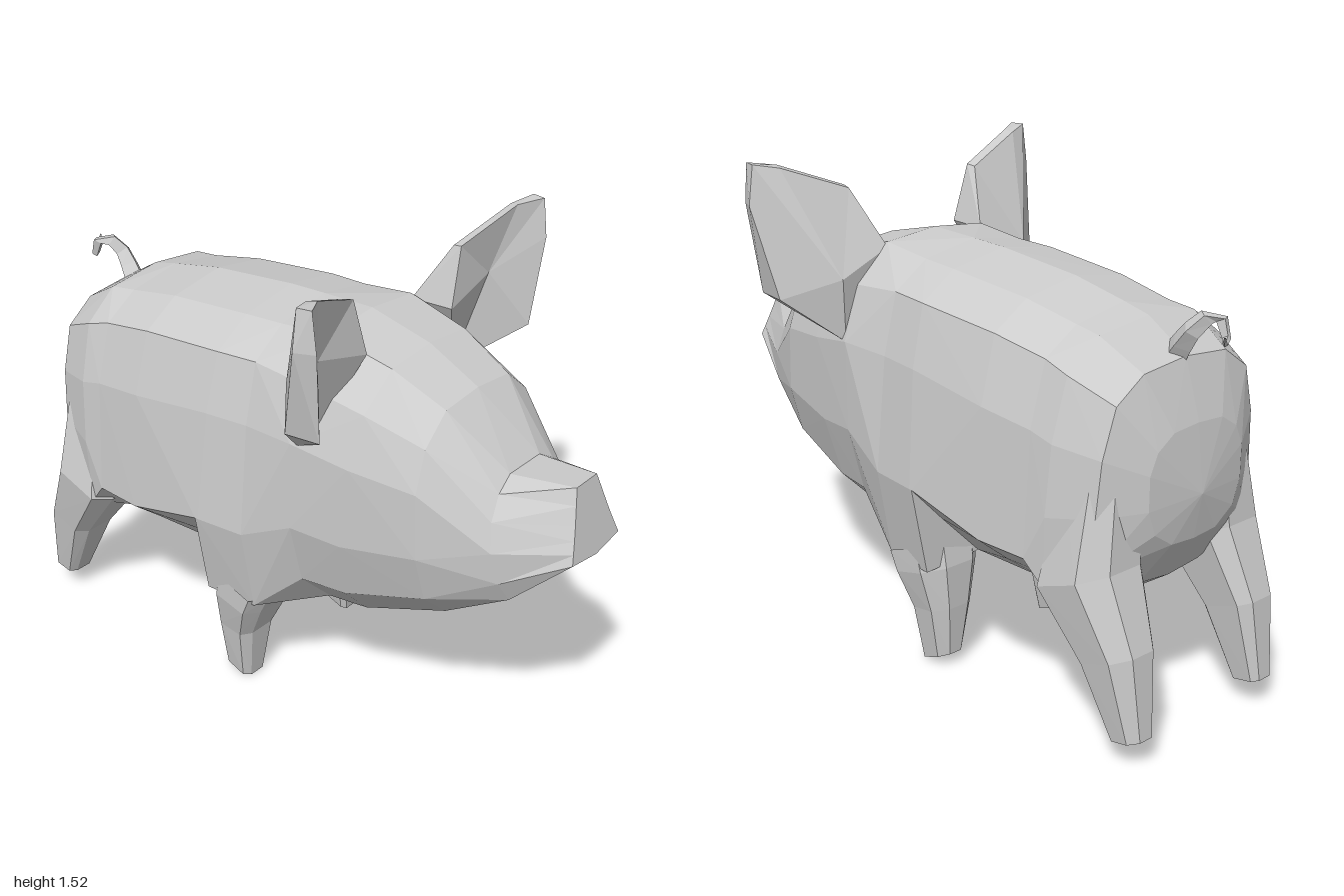
import * as THREE from 'three';

const material = new THREE.MeshStandardMaterial({ color: 0xcccccc, flatShading: true });

// Joins closed rings of [x, y, z] points; fans close the ends (the start can stay open).
// Each quad is split along the diagonal that keeps the surface convex.
function loft(name, rings, { flip = false, openStart = false, startCentre, endCentre } = {}) {
  const n = rings[0].length, last = (rings.length - 1) * n;
  const mean = ring => [0, 1, 2].map(k => ring.reduce((s, p) => s + p[k], 0) / n);
  const points = rings.flat();
  points.push(startCentre ?? mean(rings[0]), endCentre ?? mean(rings.at(-1)));
  const vectors = points.map(p => new THREE.Vector3(...p));
  const index = [];
  const tri = (a, b, c) => (flip ? index.push(a, c, b) : index.push(a, b, c));
  const quad = (a, b, c, d) => {
    const [ab, ac, ad] = [b, c, d].map(i => vectors[i].clone().sub(vectors[a]));
    const dips = ab.cross(ac).dot(ad) * (flip ? -1 : 1) <= 0;
    if (dips) { tri(a, b, c); tri(b, d, c); } else { tri(a, b, d); tri(a, d, c); }
  };
  for (let j = 0; j < n; j++) {
    const k = (j + 1) % n;
    for (let i = 0; i < last; i += n) quad(i + j, i + k, i + n + j, i + n + k);
    if (!openStart) tri(points.length - 2, k, j);
    tri(points.length - 1, last + j, last + k);
  }
  const indexed = new THREE.BufferGeometry();
  indexed.setAttribute('position', new THREE.Float32BufferAttribute(points.flat(), 3));
  indexed.setIndex(index);
  const geometry = indexed.toNonIndexed();
  geometry.computeVertexNormals();
  const mesh = new THREE.Mesh(geometry, material);
  mesh.name = name;
  return mesh;
}

// Half cross-sections, top centre to bottom centre, as [width, height] fractions.
const SNOUT = [[0, 1], [0.42, 1], [0.55, 0.78], [0.68, 0.55], [0.8, 0.36], [0.91, 0.2], [1, 0.07], [0, 0]];
const MUZZLE = [[0, 1], [0.36, 1], [0.66, 0.9], [0.9, 0.72], [1, 0.48], [0.92, 0.2], [0.72, 0.01], [0, 0]];
const HEAD = [[0, 1], [0.52, 0.98], [0.85, 0.86], [1, 0.68], [1, 0.38], [0.85, 0.16], [0.48, 0.02], [0, 0]];
const SHOULDER = [[0, 1], [0.49, 0.965], [0.79, 0.88], [0.91, 0.68], [1, 0.3], [0.87, 0], [0.36, 0.015], [0, 0]];
const BARREL = [[0, 1], [0.49, 0.965], [0.79, 0.88], [0.91, 0.68], [1, 0.3], [0.72, 0.17], [0.38, 0.02], [0, 0]];
const FLANK = [[0, 1], [0.49, 0.965], [0.8, 0.88], [0.94, 0.66], [1, 0.23], [0.72, 0.13], [0.38, 0.02], [0, 0]];
const HAUNCH = [[0, 1], [0.52, 0.975], [0.83, 0.87], [0.96, 0.65], [1, 0.4], [0.98, 0.14], [0.4, 0.02], [0, 0]];

function createBody() {
  // profile, top z, top y, bottom z, bottom y, half width
  const sections = [
    [SNOUT, 0.95, 0.985, 1.0, 0.77, 0.12],
    [MUZZLE, 0.75, 0.965, 0.82, 0.61, 0.205],
    [HEAD, 0.58, 1.15, 0.6, 0.46, 0.29],
    [HEAD, 0.41, 1.235, 0.32, 0.357, 0.335],
    [HEAD, 0.2, 1.285, 0.19, 0.35, 0.365],
    [SHOULDER, 0.02, 1.28, 0.02, 0.342, 0.39],
    [SHOULDER, -0.11, 1.275, -0.16, 0.342, 0.405],
    [BARREL, -0.12, 1.274, -0.17, 0.342, 0.405],
    [FLANK, -0.41, 1.247, -0.44, 0.345, 0.395],
    [FLANK, -0.6, 1.21, -0.6, 0.35, 0.38],
    [HAUNCH, -0.69, 1.19, -0.66, 0.355, 0.37],
    [HAUNCH, -0.83, 1.105, -0.8, 0.45, 0.32],
    [HEAD, -0.885, 0.93, -0.885, 0.59, 0.19],
  ];
  const rings = sections.map(([profile, zt, yt, zb, yb, w]) => {
    const half = profile.map(([u, v]) => [u * w, yb + v * (yt - yb), zb + v * (zt - zb)]);
    const mirrored = half.slice(1, -1).reverse().map(([x, y, z]) => [-x, y, z]);
    return [...half, ...mirrored];
  });
  return loft('body', rings, { endCentre: [0, 0.73, -0.91] });
}

// Chamfered leg outline: u runs inner to outer, v runs front to back.
const LEG_OUTLINE = [[0.15, 0], [0.75, 0], [1, 0.15], [1, 0.75], [0.7, 1], [0.2, 1], [0, 0.82], [0, 0.15]];

// Leg rings: inner x, outer x, front z, front y, back z, back y
const FRONT_LEG = [
  [0.13, 0.355, 0.04, 0.35, -0.16, 0.42],
  [0.14, 0.352, 0.01, 0.29, -0.175, 0.34],
  [0.172, 0.322, -0.04, 0.18, -0.175, 0.2],
  [0.205, 0.295, -0.06, 0.0, -0.165, 0.04],
];
const HIND_LEG = [
  [0.14, 0.31, -0.66, 0.8, -0.83, 0.86],
  [0.14, 0.38, -0.62, 0.47, -0.86, 0.56],
  [0.18, 0.345, -0.77, 0.28, -0.94, 0.34],
  [0.215, 0.31, -0.87, 0.07, -0.965, 0.09],
];

function createLeg(name, sections, side) {
  const rings = sections.map(([x0, x1, zf, yf, zb, yb]) =>
    LEG_OUTLINE.map(([u, v]) => [side * (x0 + u * (x1 - x0)), yf + v * (yb - yf), zf + v * (zb - zf)]));
  return loft(name, rings, { flip: side > 0, openStart: true });
}

// Cupped ear: front rim, back rim, hollow front and bulging back.
const EAR_FRONT = [[0.2, 1.25, 0.34], [0.25, 1.43, 0.33], [0.46, 1.51, 0.38], [0.535, 1.52, 0.425],
  [0.535, 1.4, 0.44], [0.5, 1.12, 0.42], [0.34, 0.99, 0.25]];
const EAR_BACK = [[0.19, 1.25, 0.2], [0.255, 1.425, 0.3], [0.47, 1.505, 0.35], [0.545, 1.52, 0.38],
  [0.562, 1.4, 0.38], [0.515, 1.12, 0.31], [0.35, 0.98, 0.21]];

function createEar(name, side) {
  const mirror = ([x, y, z]) => [side * x, y, z];
  return loft(name, [EAR_FRONT.map(mirror), EAR_BACK.map(mirror)], {
    flip: side < 0,
    startCentre: mirror([0.4, 1.3, 0.33]),
    endCentre: mirror([0.37, 1.18, 0.19]),
  });
}

// Curly tail: a square tube narrowed towards its tip.
function createTail() {
  const path = [[0, 1.1, -0.79], [0.01, 1.19, -0.86], [-0.03, 1.235, -0.905],
    [-0.035, 1.17, -0.935], [0, 1.165, -0.96], [0.04, 1.2, -0.99]];
  const curve = new THREE.CatmullRomCurve3(path.map(p => new THREE.Vector3(...p)));
  const segments = 7, sides = 4;
  const geometry = new THREE.TubeGeometry(curve, segments, 0.04, sides);
  const pos = geometry.attributes.position, v = new THREE.Vector3();
  for (let i = 0; i < pos.count; i++) {
    const t = Math.floor(i / (sides + 1)) / segments;
    v.fromBufferAttribute(pos, i).lerp(curve.getPointAt(t), 0.95 * t);
    pos.setXYZ(i, v.x, v.y, v.z);
  }
  geometry.computeVertexNormals();
  const mesh = new THREE.Mesh(geometry, material);
  mesh.name = 'tail';
  return mesh;
}

export function createModel() {
  const model = new THREE.Group();
  model.name = 'pig';
  model.add(createBody(), createTail());
  for (const [label, side] of [['left', 1], ['right', -1]]) {
    model.add(
      createEar(`${label}Ear`, side),
      createLeg(`${label}FrontLeg`, FRONT_LEG, side),
      createLeg(`${label}HindLeg`, HIND_LEG, side),
    );
  }
  return model;
}
